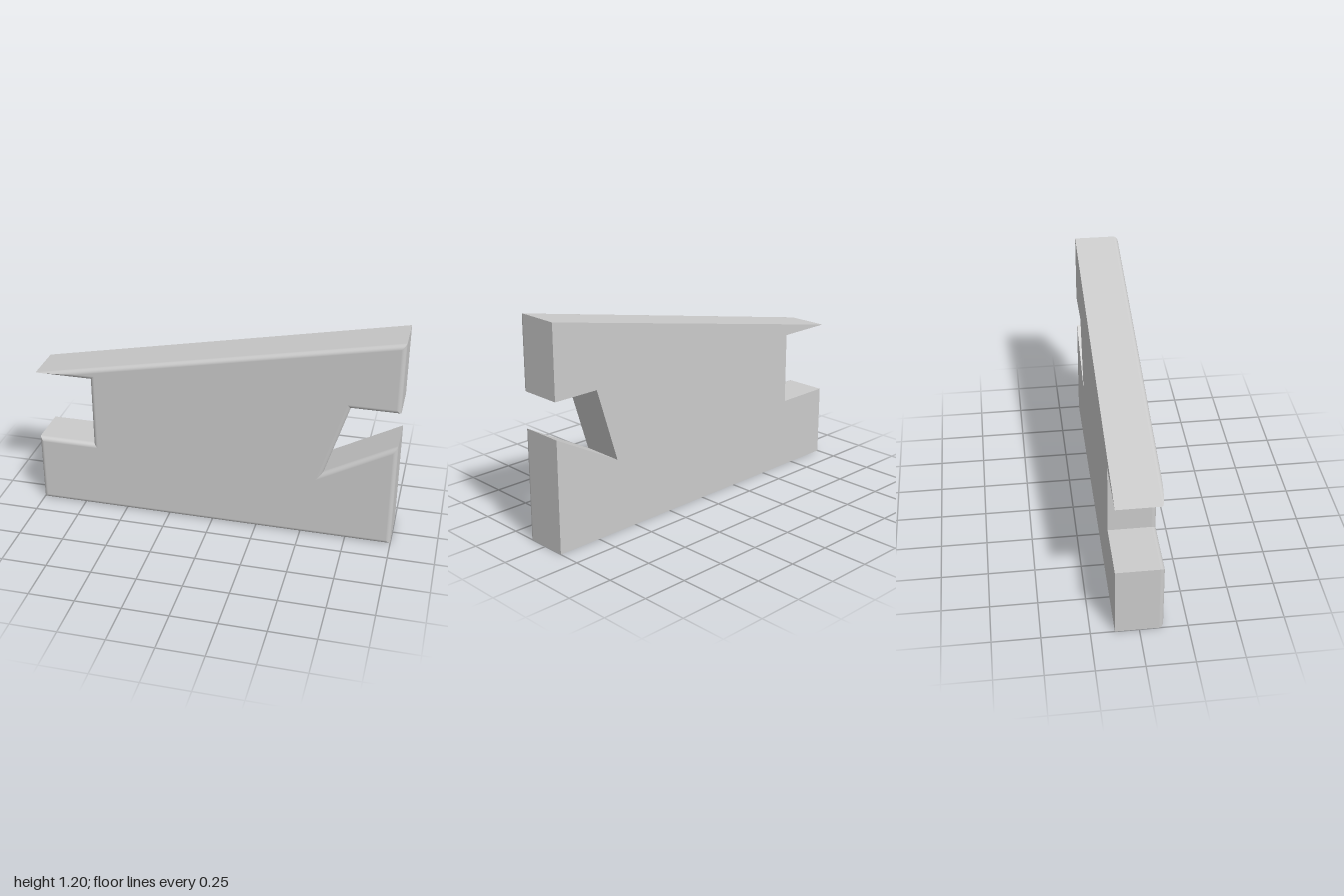
import * as THREE from 'three';

const HALF = 0.125;   // half thickness
const R = 0.025;      // radius of the rounded front edge
const STEPS = 8;

// Counter-clockwise outline of the plate with its two notches
const outline = [
  [-1, 0], [1, 0], [1, 0.61], [0.615, 0.4], [0.74, 0.805], [1, 0.805],
  [1, 1.2], [-1, 0.8], [-0.68, 0.805], [-0.68, 0.4], [-1, 0.4],
].map(([x, y]) => new THREE.Vector2(x, y));
outline[8].y = 0.8;

const count = outline.length;
const normals = outline.map((p, i) => {
  const d = outline[(i + 1) % count].clone().sub(p).normalize();
  return new THREE.Vector2(d.y, -d.x);
});

// Corner moved inward along its mitre
function inset(i, d) {
  const a = normals[(i + count - 1) % count], b = normals[i];
  return outline[i].clone().addScaledVector(a.clone().add(b), -d / (1 + a.dot(b)));
}

// Side walls that roll over into the front face, one smooth strip per edge
function createRim() {
  const rows = [{ d: 0, z: -HALF, t: 0 }];
  for (let k = 0; k <= STEPS; k++) {
    const t = (k / STEPS) * Math.PI / 2;
    rows.push({ d: R * (1 - Math.cos(t)), z: HALF - R + R * Math.sin(t), t });
  }
  const pos = [], nor = [], index = [];
  for (let i = 0; i < count; i++) {
    const start = pos.length / 3;
    rows.forEach(({ d, z, t }, k) => {
      for (const j of [i, (i + 1) % count]) {
        const p = inset(j, d);
        pos.push(p.x, p.y, z);
        nor.push(normals[i].x * Math.cos(t), normals[i].y * Math.cos(t), Math.sin(t));
      }
      if (k > 0) {
        const a = start + 2 * (k - 1);
        index.push(a, a + 1, a + 3, a, a + 3, a + 2);
      }
    });
  }
  const g = new THREE.BufferGeometry();
  g.setAttribute('position', new THREE.Float32BufferAttribute(pos, 3));
  g.setAttribute('normal', new THREE.Float32BufferAttribute(nor, 3));
  g.setIndex(index);
  return g;
}

export function createModel() {
  const group = new THREE.Group();
  group.name = 'notchedPlate';
  const material = new THREE.MeshStandardMaterial({ color: 0xcccccc });
  const add = (name, geometry) => {
    const mesh = new THREE.Mesh(geometry, material);
    mesh.name = name;
    group.add(mesh);
  };

  add('roundedRim', createRim());

  // Front face, inset by the edge radius
  const front = new THREE.Shape(outline.map((p, i) => inset(i, R)));
  add('frontFace', new THREE.ShapeGeometry(front).translate(0, 0, HALF));

  // Flat back face with sharp edges, mirrored then turned to face -z
  const back = new THREE.Shape(outline.map((p) => new THREE.Vector2(-p.x, p.y)));
  add('backFace', new THREE.ShapeGeometry(back).rotateY(Math.PI).translate(0, 0, -HALF));

  return group;
}
